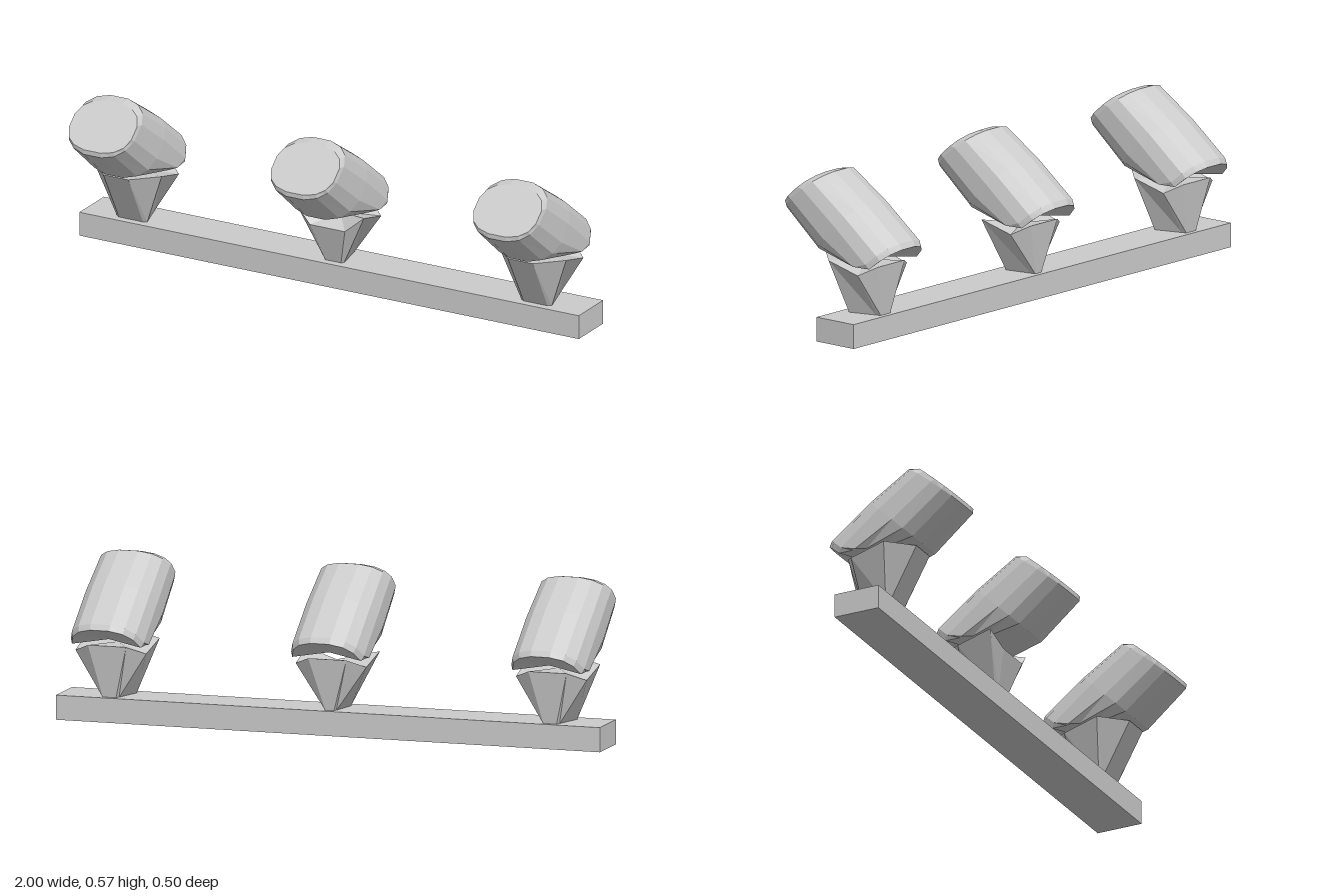
import * as THREE from 'three';

const material = new THREE.MeshStandardMaterial({ color: 0xcccccc, flatShading: true, side: THREE.DoubleSide });

// Closed solid through loops of equal point count, capped at both ends
function loft(name, loops) {
  const n = loops[0].length;
  const pos = [];
  const tri = (a, b, c) => pos.push(...a, ...b, ...c);
  const centre = (loop) => [0, 1, 2].map((k) => loop.reduce((s, p) => s + p[k], 0) / n);
  const first = loops[0], last = loops[loops.length - 1];
  const c0 = centre(first), c1 = centre(last);
  for (let i = 0; i < n; i++) {
    const j = (i + 1) % n;
    tri(c0, first[i], first[j]);
    tri(c1, last[j], last[i]);
    for (let s = 0; s + 1 < loops.length; s++) {
      const a = loops[s], b = loops[s + 1];
      tri(a[i], b[i], b[j]);
      tri(a[i], b[j], a[j]);
    }
  }
  const geometry = new THREE.BufferGeometry();
  geometry.setAttribute('position', new THREE.Float32BufferAttribute(pos, 3));
  geometry.computeVertexNormals();
  const mesh = new THREE.Mesh(geometry, material);
  mesh.name = name;
  return mesh;
}

// Slanted barrel section between a top and a bottom point (z, y), cut flat where it meets the stem
function barrelSection([zt, yt], [zb, yb], halfWidth) {
  const sides = 16, cut = 0.275;
  const soften = (v) => Math.sign(v) * Math.abs(v) ** 0.8;
  return Array.from({ length: sides }, (_, i) => {
    const a = ((i + 0.5) / sides) * Math.PI * 2;
    const t = soften(Math.sin(a)) / soften(Math.sin(Math.PI * 7 / 16));
    return [
      halfWidth * soften(Math.cos(a)),
      Math.max(cut, (yt + yb) / 2 + (t * (yt - yb)) / 2),
      (zt + zb) / 2 + (t * (zt - zb)) / 2,
    ];
  });
}

// Mirror the right-hand points of a loop to close it
const mirrored = (half) => [...half, ...half.slice().reverse().map(([x, y, z]) => [-x, y, z])];

function createLamp(name, x, slim) {
  const lamp = new THREE.Group();
  lamp.name = name;
  lamp.position.x = x;

  // Barrel, from the chamfered front rim to the back end
  lamp.add(loft('lampBarrel', [
    barrelSection([0.10, 0.565], [0.25, 0.432], 0.127),
    barrelSection([0.06, 0.572], [0.25, 0.415], 0.131),
    barrelSection([-0.09, 0.475], [0.1, 0.29], 0.136),
    barrelSection([-0.24, 0.36], [-0.04, 0.17], 0.136),
    barrelSection([-0.252, 0.34], [-0.05, 0.16], 0.128),
  ]));

  // Tapering stem, wide under the barrel and narrow on the bar
  const foot = slim ? 0.038 : 0.06;
  const front = slim ? [0.07, 0.225, 0.02] : [0.05, 0.28, 0.085];
  lamp.add(loft('lampStem', [
    mirrored([front, [0.135, 0.28, 0], [0.13, 0.245, -0.13], [0.07, 0.272, -0.172]]),
    mirrored([[foot * 0.8, 0.085, -0.022], [foot, 0.085, -0.03], [foot * 0.5, 0.085, -0.13], [foot * 0.4, 0.085, -0.145]]),
  ]));
  return lamp;
}

export function createModel() {
  const model = new THREE.Group();
  model.name = 'spotlightBar';

  // Mounting bar
  const bar = new THREE.Mesh(new THREE.BoxGeometry(2, 0.087, 0.171), material);
  bar.name = 'mountingBar';
  bar.position.set(0, 0.0435, -0.0775);
  model.add(bar);

  // Three lamps, the middle one on a slimmer stem
  model.add(createLamp('rightLamp', -0.81, false));
  model.add(createLamp('middleLamp', 0, true));
  model.add(createLamp('leftLamp', 0.81, false));
  return model;
}
